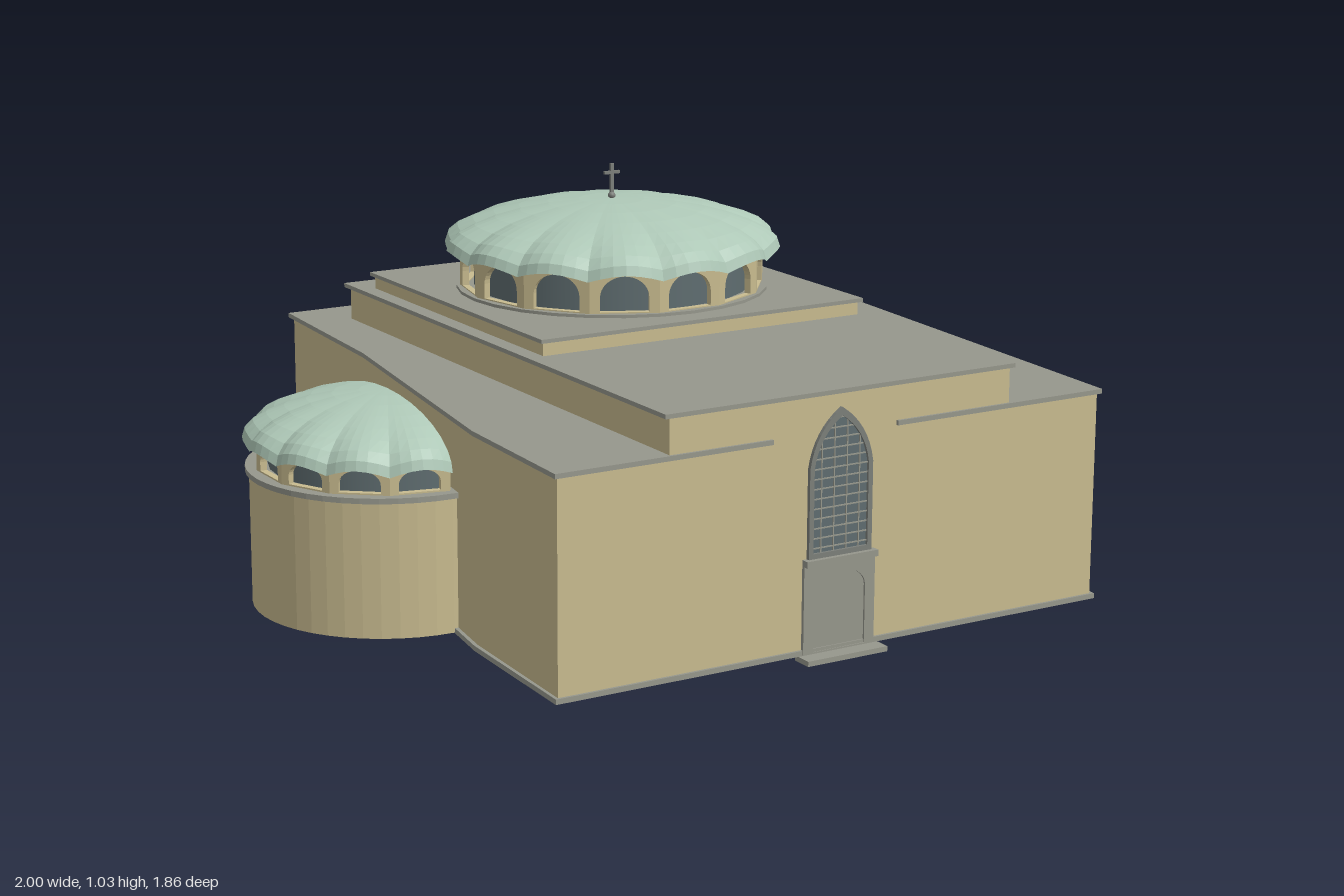
import * as THREE from 'three';
import { mergeGeometries } from 'three/addons/utils/BufferGeometryUtils.js';

const mat = (name, color, side = THREE.FrontSide) => {
  const m = new THREE.MeshStandardMaterial({ color, side });
  m.name = name;
  return m;
};

export function createModel() {
  const stone = mat('sandstone', 0xc8bb8f, THREE.DoubleSide);
  const slate = mat('roof grey', 0x96978c, THREE.DoubleSide);
  const copper = mat('pale copper green', 0xaec8b7, THREE.DoubleSide);
  const glass = mat('dark glass', 0x5f6d70, THREE.DoubleSide);
  const iron = mat('trim grey', 0x7c7f7a);

  const model = new THREE.Group();
  const add = (name, geo, material, parent = model) => {
    const m = new THREE.Mesh(geo, material);
    m.name = name;
    parent.add(m);
    return m;
  };
  const box = (name, x0, x1, y0, y1, z0, z1, material, parent) => {
    const g = new THREE.BoxGeometry(x1 - x0, y1 - y0, z1 - z0);
    g.translate((x0 + x1) / 2, (y0 + y1) / 2, (z0 + z1) / 2);
    return add(name, g, material, parent);
  };
  const points = (list) => list.map(([x, z]) => new THREE.Vector2(x, -z));

  // Upright prism over an [x, z] plan, optionally hollow
  const prism = (plan, y0, y1, hole) => {
    const s = new THREE.Shape(points(plan));
    if (hole) s.holes.push(new THREE.Path(points(hole)));
    const g = new THREE.ExtrudeGeometry(s, { depth: y1 - y0, bevelEnabled: false });
    return g.rotateX(-Math.PI / 2).translate(0, y0, 0);
  };
  const rect = (x0, x1, z0, z1) => [[x0, z0], [x1, z0], [x1, z1], [x0, z1]];
  const inset = (plan, f) => plan.map(([x, z]) => [0.15 + (x - 0.15) * f, z * f]);

  // Arched outline standing on y = y0; a pointed arch when pointed is true
  const arch = (w, y0, spring, top, pointed, Type = THREE.Shape) => {
    const p = new Type();
    p.moveTo(-w, y0);
    p.lineTo(w, y0);
    p.lineTo(w, spring);
    if (pointed) {
      p.quadraticCurveTo(w * 0.85, spring + (top - spring) * 0.65, 0, top);
      p.quadraticCurveTo(-w * 0.85, spring + (top - spring) * 0.65, -w, spring);
    } else p.absellipse(0, spring, w, top - spring, 0, Math.PI, false, 0);
    p.lineTo(-w, y0);
    return p;
  };
  const plate = (shape, depth, z = 0) =>
    new THREE.ExtrudeGeometry(shape, { depth, bevelEnabled: false, curveSegments: 8 }).translate(0, 0, z);

  // Main block: hollow walls on a skewed plan, plinth and notched roof
  const wallPlan = [[-0.665, 0.883], [0.875, 0.883], [0.987, -0.92], [-0.478, -0.92], [-0.515, -0.39], [-0.645, 0.46]];
  const eavePlan = [[-0.674, 0.89], [0.885, 0.89], [0.998, -0.932], [-0.489, -0.932], [-0.525, -0.39], [-0.655, 0.46]];
  add('mainWalls', prism(wallPlan, 0.015, 0.546, inset(wallPlan, 0.98)), stone);
  add('plinth', prism(eavePlan, 0.013, 0.026, inset(wallPlan, 0.98)), slate);
  add('mainRoof', prism([[-0.674, 0.89], [-0.37, 0.89], [-0.37, -0.78], [0.6, -0.78], [0.6, 0.89],
    ...eavePlan.slice(1)], 0.545, 0.557), slate);
  box('frontCorniceRight', -0.37, -0.09, 0.545, 0.557, 0.87, 0.89, slate);
  box('frontCorniceLeft', 0.265, 0.6, 0.545, 0.557, 0.87, 0.89, slate);

  // Raised hall and the stepped base of the dome
  add('hallWalls', prism(rect(-0.37, 0.6, -0.78, 0.883), 0.545, 0.646, rect(-0.355, 0.585, -0.765, 0.868)), stone);
  add('hallRoof', prism(rect(-0.385, 0.611, -0.79, 0.89), 0.645, 0.656), slate);
  box('domeBase', -0.342, 0.595, 0.655, 0.691, -0.685, 0.245, stone);
  box('domeBaseRoof', -0.352, 0.605, 0.69, 0.7, -0.695, 0.255, slate);

  // Scalloped dome: lobes meet in sharp grooves, each rim lifts over its window
  const LOBE = Math.PI / 7;
  const lobedDome = (count, start, R, H) => {
    const lobes = [];
    const NU = 6, NV = 8;
    for (let k = 0; k < count; k++) {
      const pos = [], idx = [];
      for (let i = 0; i <= NU; i++) {
        const a = start + (k + i / NU) * LOBE;
        const s = Math.sin((Math.PI * i) / NU);
        for (let j = 0; j <= NV; j++) {
          const e = (j / NV) * Math.PI / 2;
          const low = Math.cos(e);
          const r = R * low * (0.965 + 0.035 * s);
          pos.push(r * Math.cos(a), H * Math.sin(e) + s * 0.02 * low ** 6, r * Math.sin(a));
          if (i < NU && j < NV) {
            const p = i * (NV + 1) + j, q = p + NV + 1;
            idx.push(p, p + 1, q);
            if (j < NV - 1) idx.push(q, p + 1, q + 1);
          }
        }
      }
      const g = new THREE.BufferGeometry();
      g.setAttribute('position', new THREE.Float32BufferAttribute(pos, 3));
      g.setIndex(idx);
      const flat = g.toNonIndexed();
      flat.computeVertexNormals();
      lobes.push(flat);
    }
    return mergeGeometries(lobes);
  };

  // Ring of flat panels with arched openings, one under each lobe
  const arcade = (count, start, r, h, open) => {
    const half = r * Math.tan(LOBE / 2);
    const panels = [];
    for (let k = 0; k < count; k++) {
      const s = new THREE.Shape([[-half, 0], [half, 0], [half, h], [-half, h]].map((p) => new THREE.Vector2(...p)));
      s.holes.push(arch(half * 0.7, 0.006, open * 0.45, open, false, THREE.Path));
      const a = start + (k + 0.5) * LOBE;
      panels.push(plate(s, 0.018, r - 0.018).rotateY(Math.PI / 2 - a));
    }
    return mergeGeometries(panels);
  };

  // Great dome
  const dome = new THREE.Group();
  dome.name = 'greatDome';
  dome.position.set(0.128, 0, -0.222);
  model.add(dome);
  add('domeShell', lobedDome(14, 0, 0.446, 0.14), copper, dome).position.y = 0.795;
  add('domeArcade', arcade(14, 0, 0.392, 0.13, 0.098), stone, dome).position.y = 0.705;
  add('domeWindows', new THREE.CylinderGeometry(0.365, 0.365, 0.145, 28, 1, true), glass, dome).position.y = 0.77;
  add('domeSill', new THREE.CylinderGeometry(0.412, 0.412, 0.01, 28), slate, dome).position.y = 0.703;
  add('finialBall', new THREE.SphereGeometry(0.01, 10, 8), iron, dome).position.y = 0.941;
  box('crossPost', -0.004, 0.004, 0.93, 1.026, -0.004, 0.004, iron, dome);
  box('crossBar', -0.023, 0.023, 0.998, 1.006, -0.004, 0.004, iron, dome);

  // Side apse with its half dome
  const apse = new THREE.Group();
  apse.name = 'sideApse';
  apse.position.set(-0.635, 0, -0.028);
  model.add(apse);
  const apsePlan = (r) => {
    const plan = [[0.118, -r], [0.012, r]];
    for (let i = 0; i <= 24; i++) {
      const a = Math.PI / 2 + (i / 24) * Math.PI;
      plan.push([r * Math.cos(a), r * Math.sin(a)]);
    }
    return plan;
  };
  add('apseWall', prism(apsePlan(0.347), 0.015, 0.357), stone, apse);
  add('apseLedge', prism(apsePlan(0.357), 0.356, 0.37), slate, apse);
  add('apseArcade', arcade(7, Math.PI / 2, 0.325, 0.085, 0.062), stone, apse).position.y = 0.368;
  add('apseWindows', new THREE.CylinderGeometry(0.3, 0.3, 0.09, 14, 1, true, Math.PI, Math.PI), glass, apse).position.y = 0.413;
  add('apseDome', lobedDome(7, Math.PI / 2, 0.362, 0.137), copper, apse).position.y = 0.418;
  const gable = arch(0.325, 0.37, 0.418, 0.55, false);
  add('apseBackWall', plate(gable, 0.006).rotateY(Math.PI / 2), stone, apse);

  // Framed arched window with a lattice
  const archedWindow = (name, w, y0, spring, top, cols, rows, pointed) => {
    const g = new THREE.Group();
    g.name = name;
    const frame = arch(w, y0, spring, top, pointed);
    const t = w * 0.14;
    frame.holes.push(arch(w - t, y0 + t, spring, top - t * 1.6, pointed, THREE.Path));
    add('windowFrame', plate(frame, 0.012, -0.002), iron, g);
    add('windowPane', plate(arch(w - t, y0 + t, spring, top - t * 1.6, pointed), 0.03, -0.027), glass, g);
    const reach = (y) => (y < spring ? 1 : Math.sqrt(Math.max(0, 1 - (y - spring) / (top - spring)))) * (w - t);
    for (let r = 1; r < rows; r++) {
      const y = y0 + ((top - y0) * r) / rows, x = reach(y);
      box('windowBar', -x, x, y - 0.0015, y + 0.0015, 0.002, 0.006, slate, g);
    }
    for (let c = 1; c < cols; c++) {
      const x = w * ((2 * c) / cols - 1);
      const yTop = spring + (top - spring) * Math.max(0, 1 - (x / (w - t)) ** 2) * 0.95;
      box('windowMullion', x - 0.0015, x + 0.0015, y0, yTop, 0.002, 0.006, slate, g);
    }
    model.add(g);
    return g;
  };
  archedWindow('frontWindow', 0.09, 0.25, 0.47, 0.612, 5, 15, true).position.set(0.102, 0, 0.883);
  const side = archedWindow('sideWindow', 0.032, 0.09, 0.2, 0.24, 2, 3, false);
  side.position.set(-0.4955, 0, -0.67);
  side.rotation.y = Math.atan2(-0.998, -0.07);

  // Entrance: surround, recessed door, sill above and doorstep
  const surround = new THREE.Shape([[-0.102, 0.015], [0.102, 0.015], [0.102, 0.236], [-0.102, 0.236]].map((p) => new THREE.Vector2(...p)));
  surround.holes.push(arch(0.074, 0.018, 0.165, 0.214, false, THREE.Path));
  add('doorSurround', plate(surround, 0.01), slate).position.set(0.102, 0, 0.882);
  add('frontDoor', plate(arch(0.074, 0.018, 0.165, 0.214, false), 0.03, -0.025), slate).position.set(0.102, 0, 0.882);
  box('windowSill', 0.0, 0.204, 0.234, 0.25, 0.88, 0.905, slate);
  box('doorstep', -0.012, 0.217, 0, 0.013, 0.875, 0.932, slate);

  return model;
}
